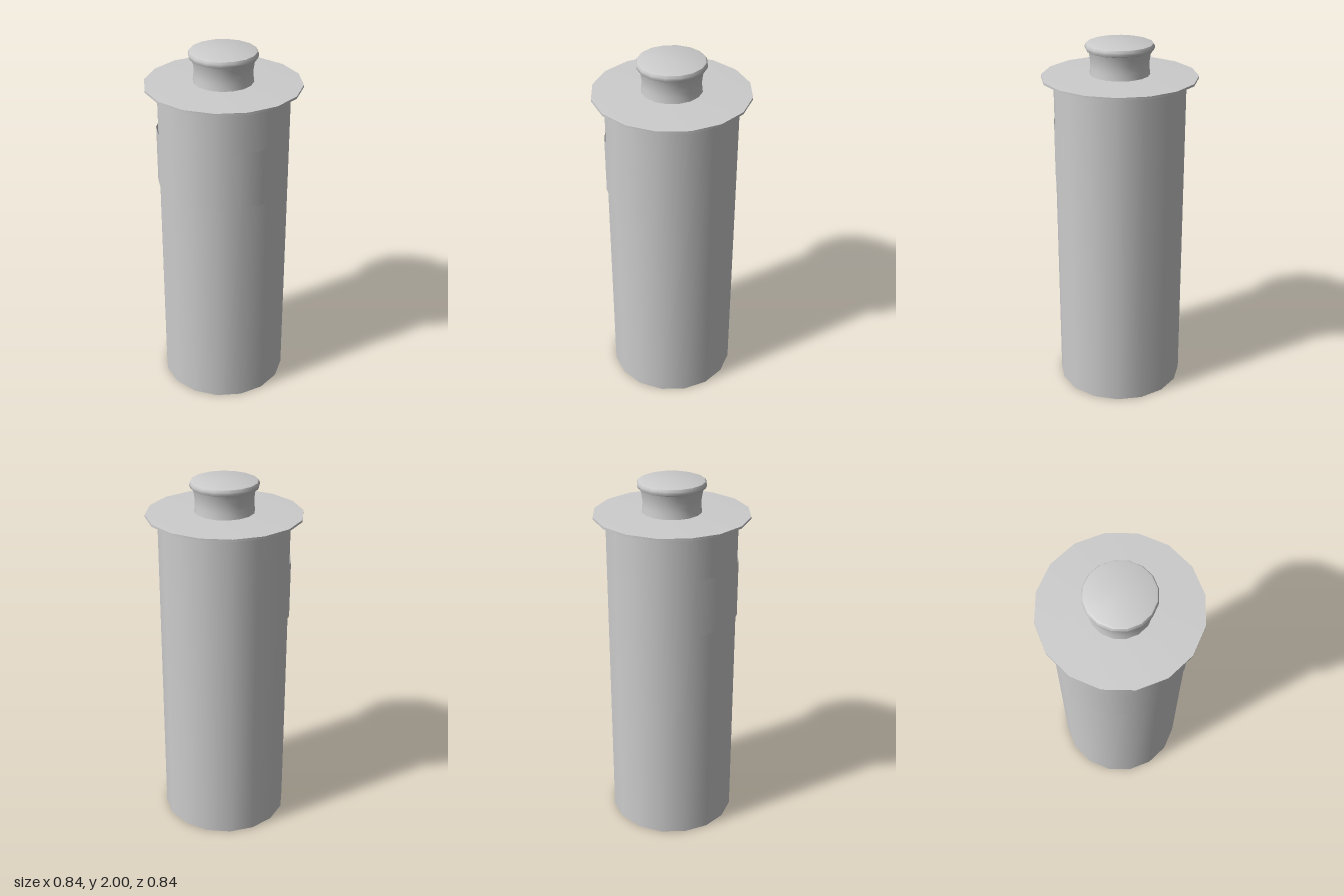
import * as THREE from 'three';
import { toCreasedNormals } from 'three/addons/utils/BufferGeometryUtils.js';

const SIDES = 16;

export function createModel() {
  const group = new THREE.Group();
  const grey = new THREE.MeshStandardMaterial({ color: 0xcccccc });
  grey.name = 'plain grey';
  grey.side = THREE.DoubleSide;

  const add = (name, geometry) => {
    const mesh = new THREE.Mesh(geometry, grey);
    mesh.name = name;
    group.add(mesh);
    return mesh;
  };

  // Turned part from [radius, height] pairs, listed bottom to top
  const turned = (name, profile) => {
    const points = profile.map(([r, y]) => new THREE.Vector2(r, y));
    return add(name, toCreasedNormals(new THREE.LatheGeometry(points, SIDES), 0.7));
  };

  // Tall canister body
  add('body', new THREE.CylinderGeometry(0.355, 0.355, 1.8, SIDES)).position.y = 0.9;

  // Curved label wrapped round the front half
  const arc = 2.9;
  add('label', new THREE.CylinderGeometry(0.361, 0.361, 0.315, 8, 1, true, -arc / 2, arc))
    .position.y = 1.412;

  // Lid: recessed collar below a thin, wide brim
  turned('lid', [
    [0, 1.79], [0.336, 1.79], [0.336, 1.812], [0.42, 1.812],
    [0.42, 1.824], [0.17, 1.833], [0, 1.833],
  ]);

  // Waisted knob with a rounded lip
  turned('knob', [
    [0.162, 1.83], [0.157, 1.87], [0.157, 1.9], [0.162, 1.935], [0.168, 1.958],
    [0.179, 1.962], [0.184, 1.973], [0.184, 1.984], [0.178, 1.996], [0.168, 2], [0, 2],
  ]);

  return group;
}
